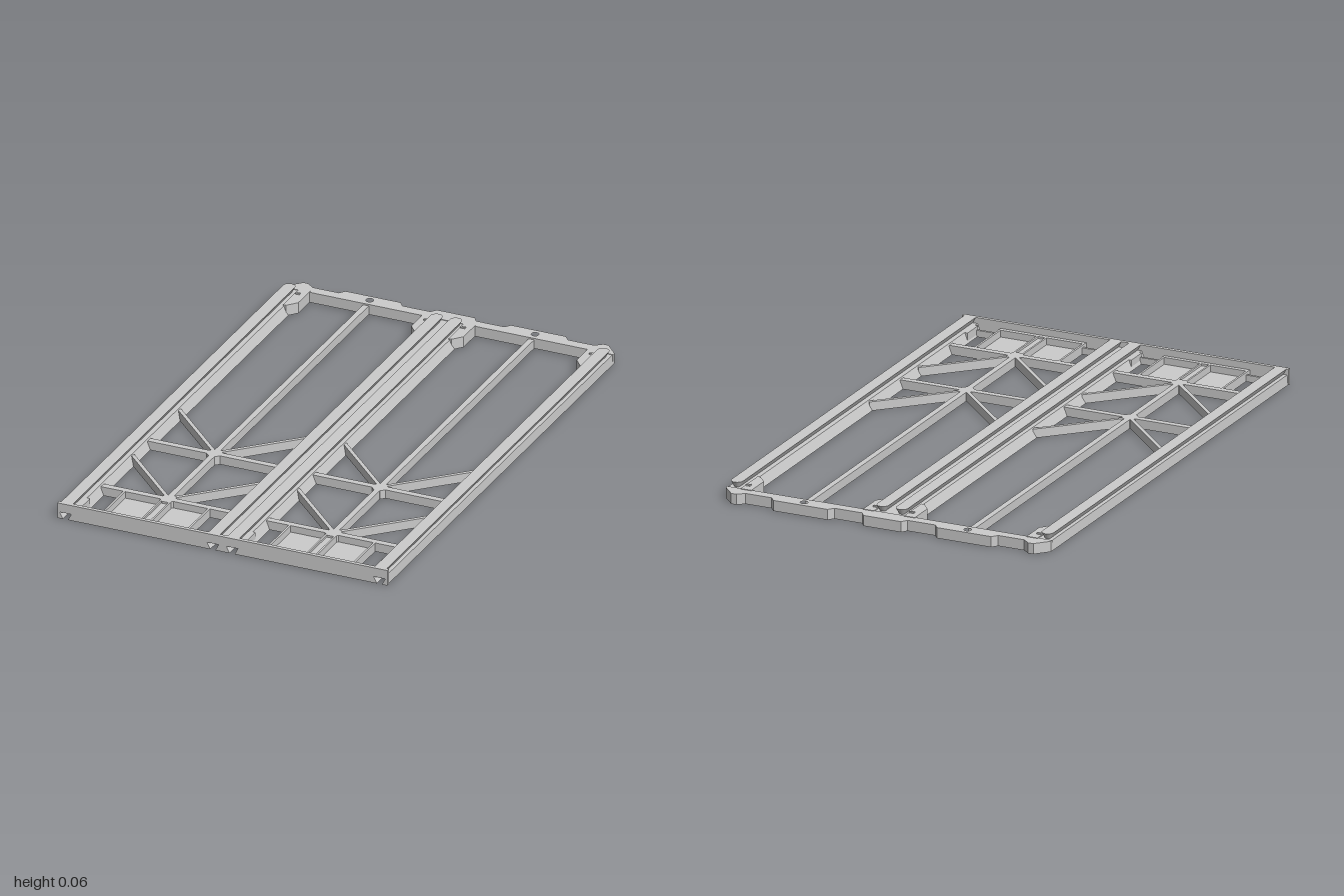
import * as THREE from 'three';

const mat = new THREE.MeshStandardMaterial({ color: 0xcccccc, flatShading: true });

// Extrude an x/y cross-section along z
function extrudeZ(pts, z0, z1) {
  const shape = new THREE.Shape(pts.map(p => new THREE.Vector2(p[0], p[1])));
  return new THREE.ExtrudeGeometry(shape, { depth: z1 - z0, bevelEnabled: false }).translate(0, 0, z0);
}

// Extrude an x/z outline upwards, with optional round holes [x, z, r]
function extrudeY(pts, y0, y1, holes = []) {
  const shape = new THREE.Shape(pts.map(p => new THREE.Vector2(p[0], -p[1])));
  for (const [x, z, r] of holes) {
    const path = new THREE.Path();
    path.absarc(x, -z, r, 0, Math.PI * 2, true);
    shape.holes.push(path);
  }
  return new THREE.ExtrudeGeometry(shape, { depth: y1 - y0, bevelEnabled: false, curveSegments: 10 })
    .rotateX(-Math.PI / 2).translate(0, y0, 0);
}

const box = (x0, x1, y0, y1, z0, z1) =>
  new THREE.BoxGeometry(x1 - x0, y1 - y0, z1 - z0).translate((x0 + x1) / 2, (y0 + y1) / 2, (z0 + z1) / 2);

// Straight strut between two x/z points
function strut([xa, za], [xb, zb], width, y0, y1) {
  const dx = xb - xa, dz = zb - za;
  return new THREE.BoxGeometry(Math.hypot(dx, dz), y1 - y0, width)
    .rotateY(-Math.atan2(dz, dx)).translate((xa + xb) / 2, (y0 + y1) / 2, (za + zb) / 2);
}

// Dovetail groove in a bottom edge, listed from left to right
const groove = c => [[c - 0.01, 0], [c - 0.023, 0.025], [c + 0.023, 0.025], [c + 0.01, 0]];

const DECK = 0.038, TOP = 0.06, REAR = -0.945, FRONT = 1;
const OUTER = 0.617, INNER = 0.038;      // dovetail centre lines
const BAY = 0.325;                       // centre line of each bay
const BAR = 0.034;                       // height of the bracing

export function createModel() {
  const group = new THREE.Group();
  const add = (name, geo, parent = group) => {
    const mesh = new THREE.Mesh(geo, mat);
    mesh.name = name;
    parent.add(mesh);
    return mesh;
  };

  // Grooved rails: one in the middle, one on each side
  add('centreRail', extrudeZ([[-0.08, 0], ...groove(-INNER), ...groove(INNER), [0.08, 0],
    [0.065, DECK], [-0.065, DECK]], REAR, 0.99));
  add('leftRail', extrudeZ([[0.572, 0], ...groove(OUTER), [0.646, 0], [0.643, DECK], [0.587, DECK]], REAR, 0.99));
  add('rightRail', extrudeZ([[-0.646, 0], ...groove(-OUTER), [-0.572, 0], [-0.587, DECK], [-0.643, DECK]], REAR, 0.99));

  // Dovetail ridges on top of the rails, rounded at the rear
  for (const c of [-OUTER, -INNER, INNER, OUTER]) {
    add('dovetailRidge', extrudeZ([[c - 0.011, DECK], [c + 0.011, DECK], [c + 0.023, TOP], [c - 0.023, TOP]], -0.915, 0.99));
    add('ridgeEnd', new THREE.CylinderGeometry(0.023, 0.011, TOP - DECK, 12, 1, false, Math.PI / 2, Math.PI)
      .translate(c, (TOP + DECK) / 2, -0.915));
  }

  // Front plate, notched for the grooves
  const W = 0.648;
  add('frontPlate', extrudeZ([[-W, 0], ...groove(-OUTER), ...groove(-INNER), ...groove(INNER), ...groove(OUTER),
    [W, 0], [W, TOP], [-W, TOP]], 0.985, FRONT));

  // Rear bar with raised pads and a hole in each bay
  const half = [[0.075, -1], [0.09, -0.978], [0.2, -0.978], [0.217, -1], [0.433, -1], [0.45, -0.978],
    [0.553, -0.978], [0.58, -1], [0.6, -1], [0.646, -0.95], [0.646, -0.938]];
  const mirrored = half.map(([x, z]) => [-x, z]).reverse();
  add('rearBar', extrudeY([...mirrored, ...half], 0, 0.04, [[-BAY, -0.97, 0.014], [BAY, -0.97, 0.014]]));

  for (const side of [-1, 1]) {
    const bay = new THREE.Group();
    bay.name = side > 0 ? 'leftBay' : 'rightBay';
    bay.position.x = side * BAY;
    group.add(bay);
    const put = (name, geo) => add(name, geo, bay);
    const reach = 0.253;                 // half the clear width of a bay

    // Long spine and cross bars
    put('spine', box(-0.011, 0.011, 0, BAR, -0.94, 0.76));
    for (const z of [0.358, 0.758]) {
      put('crossBar', box(-reach - 0.005, reach + 0.005, 0, BAR, z - 0.0125, z + 0.0125));
      put('braceNode', new THREE.CylinderGeometry(0.03, 0.03, BAR, 8)
        .rotateY(Math.PI / 8).translate(0, BAR / 2, z));
      for (const s of [-1, 1])
        put('diagonalBrace', strut([s * 0.26, z - 0.265], [s * 0.008, z - 0.013], 0.014, 0, BAR));
    }

    // Front tray: floor, walls, open windows at each side
    put('trayFloor', box(-0.17, 0.17, 0, 0.008, 0.765, 0.987));
    for (const s of [-1, 1]) {
      const lo = Math.min, hi = Math.max;
      const span = (a, b, ...r) => box(lo(s * a, s * b), hi(s * a, s * b), ...r);
      put('trayWall', span(0.162, 0.17, 0, BAR, 0.765, 0.987));
      put('spineWall', span(0.014, 0.021, 0, BAR, 0.765, 0.987));
      put('frontStrip', span(0.165, 0.265, 0, 0.012, 0.952, 0.987));
      put('stripLip', span(0.165, 0.265, 0, 0.025, 0.952, 0.962));
      put('railPad', span(0.25, 0.268, 0, DECK, 0.88, 0.965));

      // Rear corner gusset and its small latch
      const pts = [[0.265, -0.945], [0.222, -0.945], [0.222, -0.842], [0.253, -0.805], [0.265, -0.805]];
      put('cornerGusset', extrudeY(pts.map(([x, z]) => [s * x, z]), 0, 0.042));
      put('latch', span(0.244, 0.262, 0.04, 0.047, -0.91, -0.9));
    }
    put('spineFloor', box(-0.018, 0.018, 0, 0.026, 0.765, 0.987));
    put('trayFrontWall', box(-0.17, 0.17, 0, BAR, 0.968, 0.987));
  }

  return group;
}
